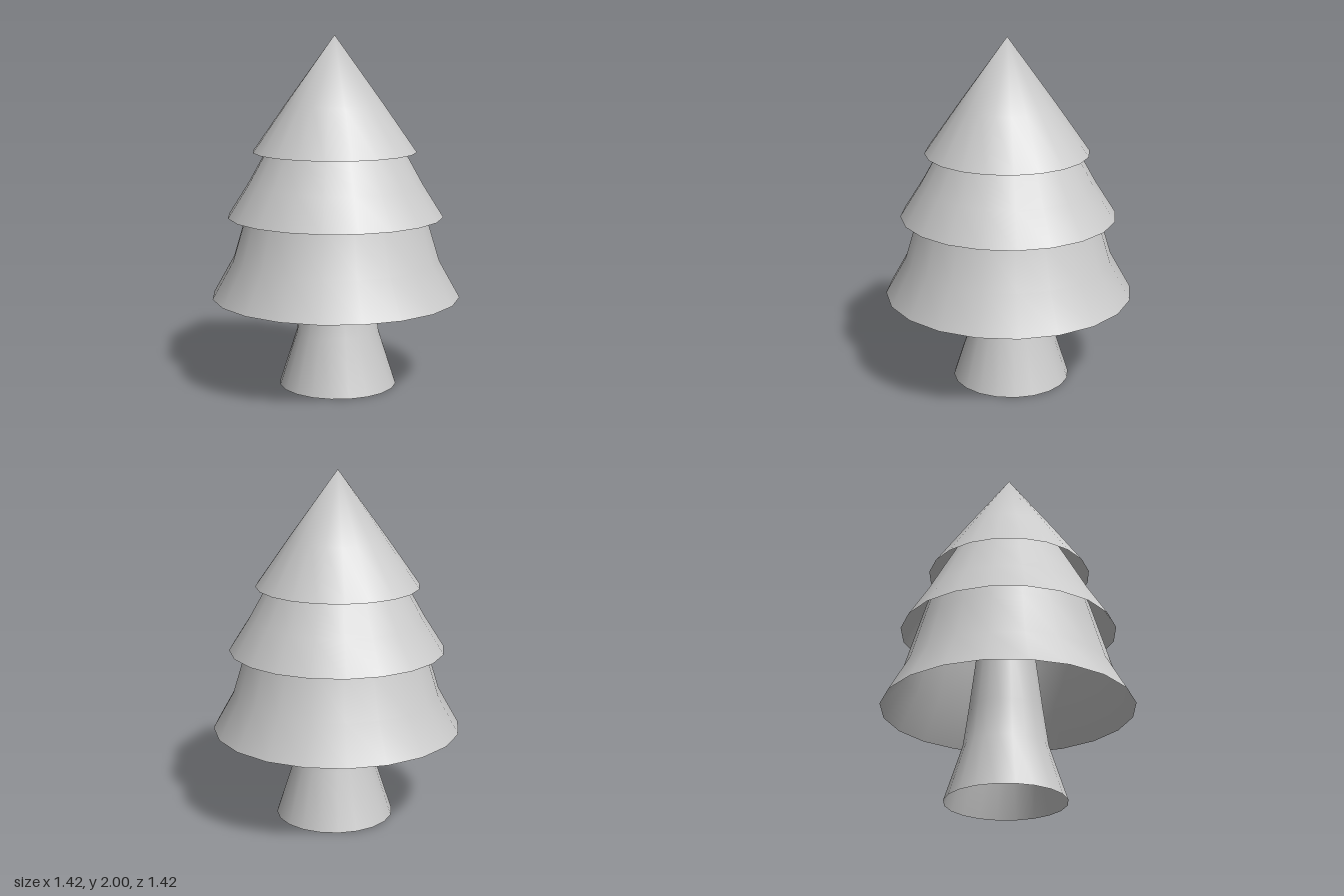
import * as THREE from 'three';
import { mergeVertices } from 'three/addons/utils/BufferGeometryUtils.js';

const SIDES = 20;

// Thin revolved shell, open below, with normals smoothed over seam and tip
function shell(name, profile, z, material) {
  let geometry = new THREE.LatheGeometry(profile.map(([r, y]) => new THREE.Vector2(r, y)), SIDES);
  geometry.deleteAttribute('uv');
  geometry.deleteAttribute('normal');
  geometry = mergeVertices(geometry, 1e-4);
  geometry.computeVertexNormals();
  const mesh = new THREE.Mesh(geometry, material);
  mesh.name = name;
  mesh.position.z = z;
  return mesh;
}

export function createModel() {
  const tree = new THREE.Group();
  tree.name = 'tree';
  const material = new THREE.MeshStandardMaterial({ color: 0xcccccc, side: THREE.DoubleSide });

  tree.add(
    // Flared trunk, reaching up inside the lowest tier
    shell('trunk', [[0.337, 0], [0.237, 0.31], [0.207, 0.525], [0.16, 0.9]], -0.017, material),
    // Foliage skirts, each tucked under the next
    shell('lowerFoliage', [[0.708, 0.525], [0.59, 0.735], [0.515, 0.985], [0.465, 1.15]], 0, material),
    shell('middleFoliage', [[0.612, 0.985], [0.495, 1.17], [0.395, 1.35], [0.31, 1.5]], 0.003, material),
    // Pointed crown
    shell('topFoliage', [[0.464, 1.35], [0.275, 1.62], [0, 2]], 0.009, material),
  );
  return tree;
}
